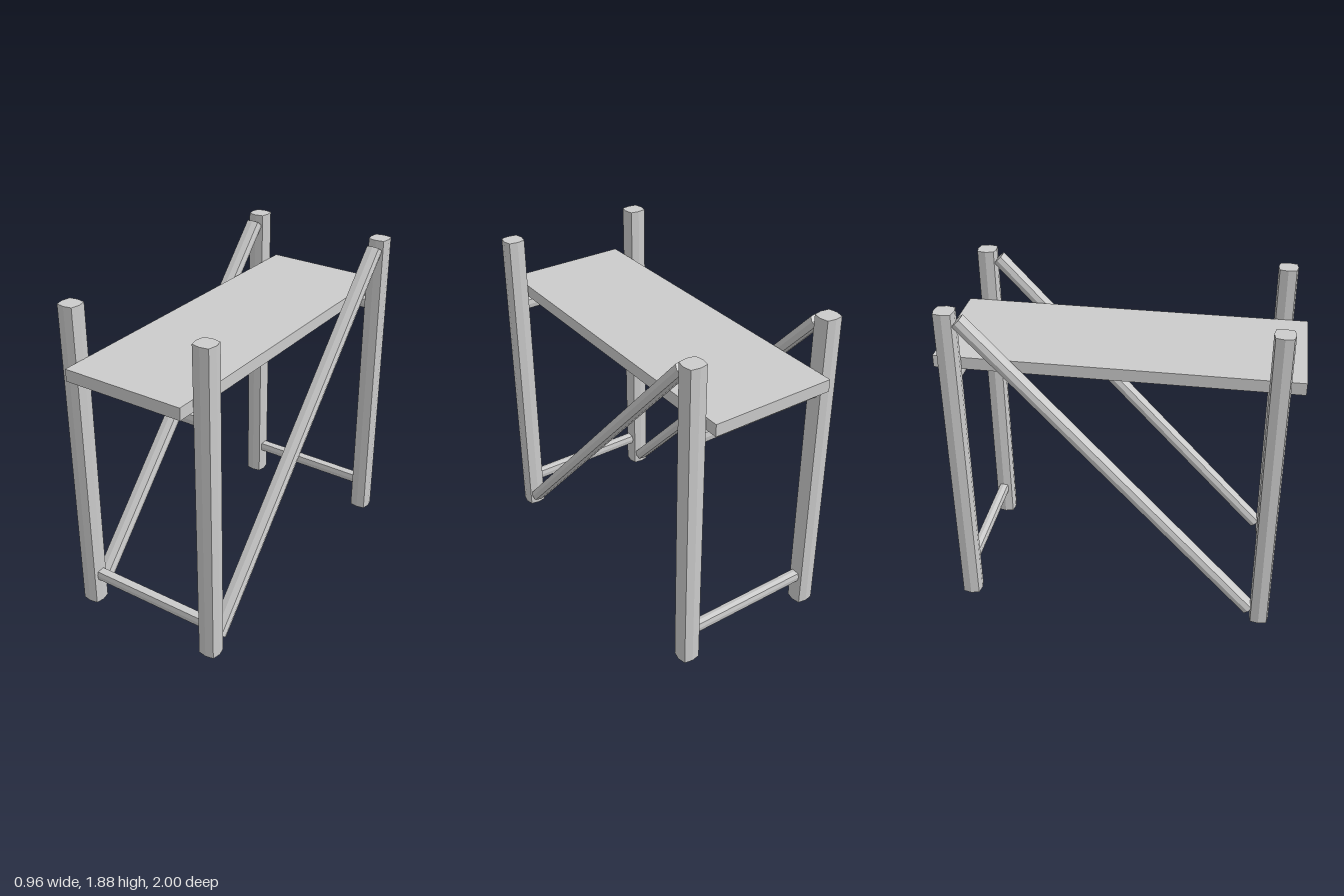
import * as THREE from 'three';

const material = new THREE.MeshStandardMaterial({ color: 0xcccccc, flatShading: true });

// Cross-section of a hewn pole: a slightly bulged square with eight corners
function poleSection(halfW, halfD) {
  const w = halfW * 0.82, d = halfD * 0.85;
  return new THREE.Shape([
    [halfW, 0], [w, d], [0, halfD], [-w, d],
    [-halfW, 0], [-w, -d], [0, -halfD], [w, -d],
  ].map(([x, y]) => new THREE.Vector2(x, y)));
}

// Straight pole between two points; halfW is measured along the side vector
function pole(name, from, to, halfW, halfD, side) {
  const dir = to.clone().sub(from);
  const geometry = new THREE.ExtrudeGeometry(poleSection(halfW, halfD), {
    depth: dir.length(), bevelEnabled: false, steps: 1,
  });
  const zAxis = dir.normalize();
  const yAxis = new THREE.Vector3().crossVectors(zAxis, side);
  geometry.applyMatrix4(new THREE.Matrix4().makeBasis(side, yAxis, zAxis).setPosition(from));
  const mesh = new THREE.Mesh(geometry, material);
  mesh.name = name;
  return mesh;
}

export function createModel() {
  const group = new THREE.Group();
  group.name = 'scaffold';
  const v = (x, y, z) => new THREE.Vector3(x, y, z);
  const acrossX = v(1, 0, 0), upY = v(0, 1, 0);
  const postX = 0.42;
  const ends = [['front', 0.863], ['back', -0.888]];

  // Plank deck resting between the posts
  const deck = new THREE.Mesh(new THREE.BoxGeometry(0.725, 0.07, 2), material);
  deck.name = 'deck';
  deck.position.set(-0.002, 1.545, 0);
  group.add(deck);

  for (const [label, z] of ends) {
    // Upright posts
    for (const s of [-1, 1]) {
      const name = label + (s > 0 ? 'Left' : 'Right') + 'Post';
      group.add(pole(name, v(s * postX, 0, z), v(s * postX, 1.88, z), 0.0585, 0.056, acrossX));
    }
    // Lower and upper rungs
    for (const [level, y] of [['Lower', 0.187], ['Upper', 1.458]]) {
      group.add(pole(label + level + 'Rung', v(-0.37, y, z), v(0.37, y, z), 0.033, 0.029, upY));
    }
  }

  // Diagonal braces on both sides
  for (const s of [-1, 1]) {
    const name = (s > 0 ? 'left' : 'right') + 'Brace';
    group.add(pole(name, v(s * postX, 0.07, 0.797), v(s * postX, 1.828, -0.823), 0.046, 0.034, acrossX));
  }
  return group;
}
